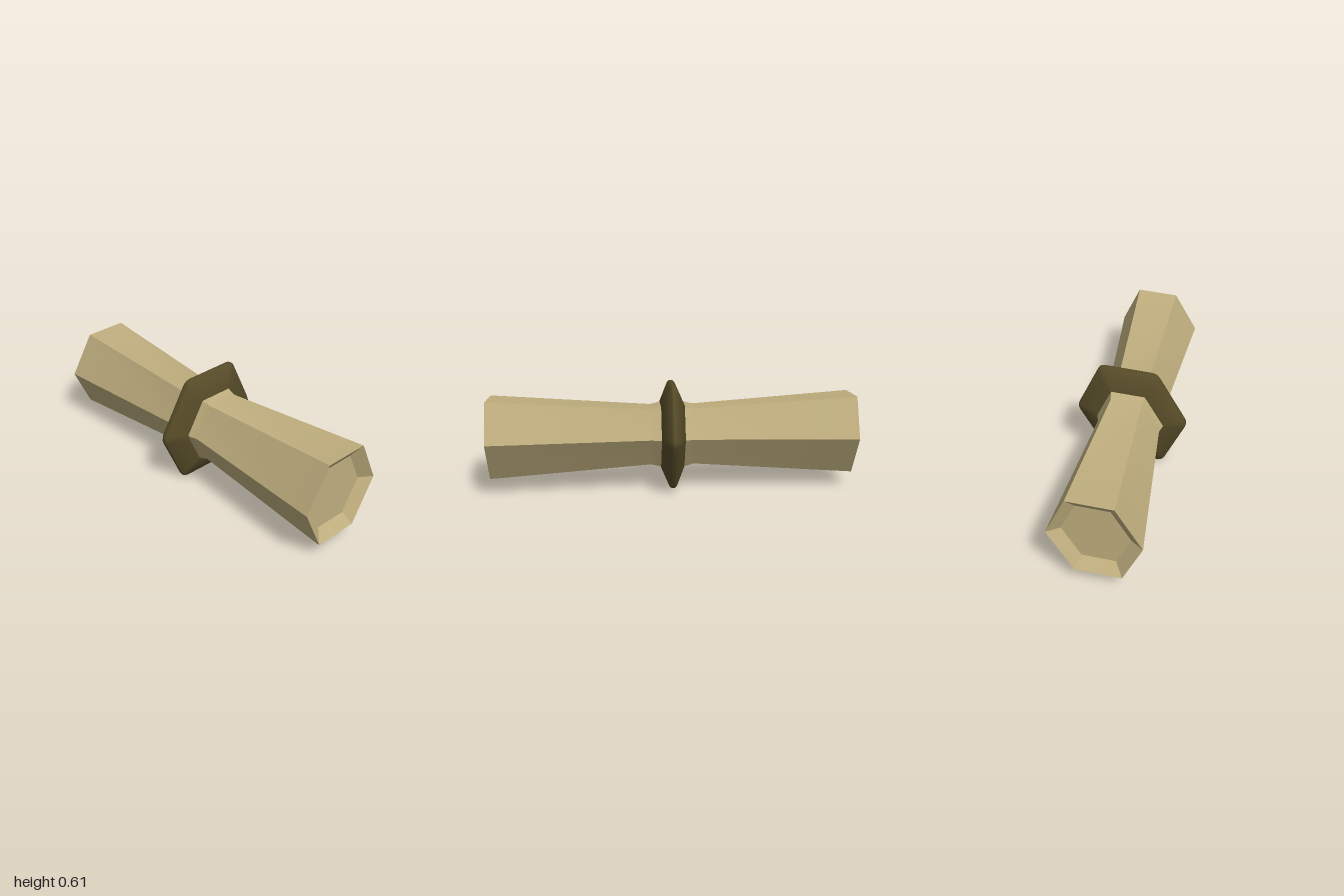
import * as THREE from 'three';
import { toCreasedNormals } from 'three/addons/utils/BufferGeometryUtils.js';

// Three neighbouring corners of the slightly stretched hexagon; the rest are their opposites
const half = [[0.236, 0.018], [0.134, 0.232], [-0.103, 0.213]];
const hexagon = [...half, ...half.map(([x, y]) => [-x, -y])].map(([x, y]) => new THREE.Vector2(x, y));

// Hexagon with each corner softened by a short curve
function softHexagon(t) {
  const points = [];
  hexagon.forEach((corner, i) => {
    const a = corner.clone().lerp(hexagon[(i + 5) % 6], t);
    const b = corner.clone().lerp(hexagon[(i + 1) % 6], t);
    points.push(...new THREE.QuadraticBezierCurve(a, corner, b).getPoints(3));
  });
  return points;
}

// Sweep a cross-section along z through stations of [scale, z]
function loft(section, stations) {
  const positions = [];
  const n = section.length;
  const point = ([scale, z], j) => [section[j % n].x * scale, section[j % n].y * scale, z];
  for (let i = 0; i < stations.length - 1; i++) {
    const from = stations[i], to = stations[i + 1];
    for (let j = 0; j < n; j++) {
      const a = point(from, j), b = point(from, j + 1), c = point(to, j + 1), d = point(to, j);
      if (from[0] > 0) positions.push(...a, ...b, ...c);
      if (to[0] > 0) positions.push(...a, ...c, ...d);
    }
  }
  const geometry = new THREE.BufferGeometry();
  geometry.setAttribute('position', new THREE.Float32BufferAttribute(positions, 3));
  return toCreasedNormals(geometry, 0.6);
}

// Complete a front-half profile with its mirror image behind
const mirrored = (front) => [...front.map(([s, z]) => [s, -z]).reverse(), ...front];

function addPart(group, name, geometry, color) {
  const mesh = new THREE.Mesh(geometry, new THREE.MeshStandardMaterial({ color }));
  mesh.name = name;
  group.add(mesh);
}

export function createModel() {
  const model = new THREE.Group();
  model.name = 'hexagonalCoupling';
  const body = new THREE.Group();
  body.name = 'body';

  // Flared hexagonal bar with a narrow waist and recessed ends
  addPart(body, 'flaredBar', loft(hexagon, mirrored([
    [0.8, 0.05], [0.79, 0.065], [0.73, 0.12], [1, 1.015], [0.725, 0.968], [0, 0.968],
  ])), 0xbfae7e);

  // Dark collar tapering to a thin rim
  addPart(body, 'collar', loft(softHexagon(0.09), mirrored([
    [1.33, 0.008], [1.29, 0.02], [0.82, 0.065], [0.6, 0.065],
  ])), 0x564b28);

  body.rotation.y = Math.PI / 6;
  body.position.y = 0.302;
  model.add(body);
  return model;
}
